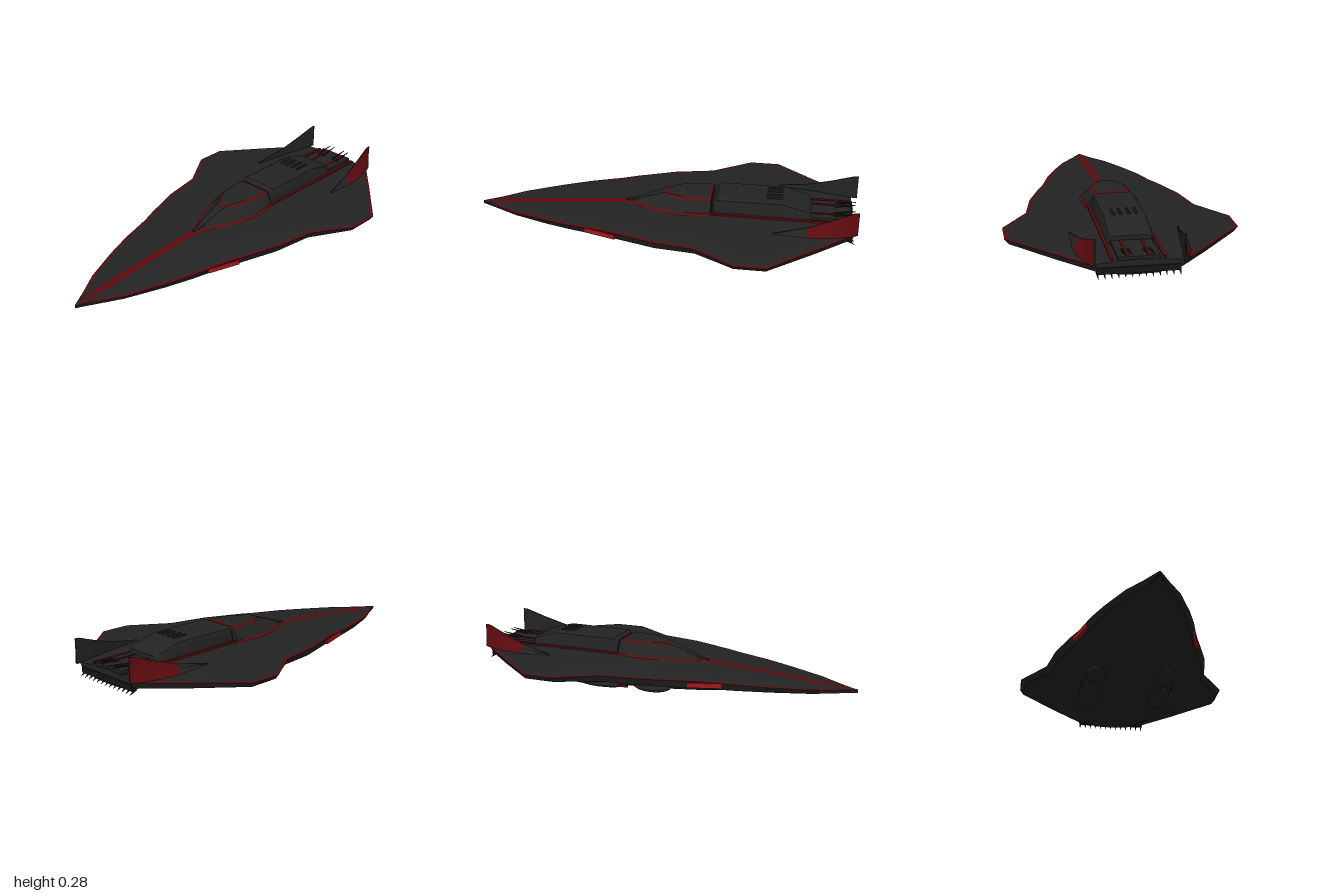
import * as THREE from 'three';
import { toCreasedNormals } from 'three/addons/utils/BufferGeometryUtils.js';

const paint = (name, color) => {
  const m = new THREE.MeshStandardMaterial({ color });
  m.name = name;
  return m;
};

// Hull stations: z, half width, top y, edge y, edge depth, bottom y
const HULL = [
  [1, .004, .082, .08, .01, .066], [.9, .06, .092, .085, .02, .06],
  [.79, .127, .1, .092, .025, .057], [.6, .205, .118, .104, .03, .053],
  [.455, .254, .13, .114, .035, .045], [.28, .3, .143, .124, .04, .025],
  [.2, .33, .148, .128, .04, .02], [0, .397, .157, .134, .04, .012],
  [-.206, .434, .164, .138, .035, .01], [-.41, .566, .168, .14, .025, .012],
  [-.566, .566, .168, .14, .025, .025], [-.8, .365, .168, .146, .03, .06],
  [-.97, .215, .166, .15, .03, .095],
];

export function createModel() {
  const model = new THREE.Group();
  const body = paint('charcoal hull', 0x232323);
  const red = paint('dark red trim', 0x5c0a0e);
  const glow = paint('bright red vent', 0xa01a1c);
  const dark = paint('black metal', 0x161616);
  const mats = [body, red];

  function add(name, geo, mat, x = 0, y = 0, z = 0) {
    const mesh = new THREE.Mesh(geo, mat);
    mesh.name = name;
    mesh.position.set(x, y, z);
    model.add(mesh);
    return mesh;
  }

  // Skin closed rings (clockwise seen from the front, nose to tail) and cap both ends
  function loft(name, rings, colourOf = () => 0) {
    const n = rings[0].length, pos = rings.flat(2), tris = [[], []];
    rings.slice(0, -1).forEach((_, i) => {
      for (let j = 0; j < n; j++) {
        const k = (j + 1) % n, a = i * n + j, b = i * n + k;
        tris[colourOf(i, j)].push(a, b, a + n, b, b + n, a + n);
      }
    });
    [0, rings.length - 1].forEach((r) => {
      const c = pos.length / 3;
      for (let d = 0; d < 3; d++) pos.push(rings[r].reduce((s, p) => s + p[d], 0) / n);
      for (let j = 0; j < n; j++) {
        const a = r * n + j, b = r * n + (j + 1) % n;
        tris[0].push(c, ...(r ? [a, b] : [b, a]));
      }
    });
    const geo = new THREE.BufferGeometry();
    geo.setAttribute('position', new THREE.Float32BufferAttribute(pos, 3));
    geo.setIndex([...tris[0], ...tris[1]]);
    geo.addGroup(0, tris[0].length, 0);
    geo.addGroup(tris[0].length, tris[1].length, 1);
    return add(name, toCreasedNormals(geo, 0.5), mats);
  }

  // Symmetric ring from a right-hand half profile, top centre to bottom centre
  const ringOf = (half, z) => [
    ...half.map(([x, y]) => [x, y, z]),
    ...half.slice(1, -1).reverse().map(([x, y]) => [-x, y, z]),
  ];
  // Band number counted from the top centre on either side
  const band = (j, halfLength) => Math.min(j, 2 * (halfLength - 1) - 1 - j);

  // Main hull with red nose stripe and red rim
  const lerp = THREE.MathUtils.lerp;
  loft('hull', HULL.map(([z, w, t, e, g, b]) => ringOf([
    [0, t], [Math.min(.022, w * .3), t - .0005], [Math.min(.27, w * .5), lerp(t, e, .3)],
    [w - Math.min(.016, w * .25), e + .002], [w, e], [w - Math.min(.02, w * .2), e - g],
    [w * .62, lerp(b, e - g, .62)], [w * .42, lerp(b, e - g, .1)], [0, b],
  ], z)), (i, j) => {
    const k = band(j, 9);
    return k === 3 || (k === 0 && i < 6) ? 1 : 0;
  });

  // Cockpit blister: z, roof half width, roof y, base half width, base y
  const cockpit = [
    [.21, .006, .15, .012, .145], [.1, .02, .19, .065, .15], [.005, .034, .224, .112, .155],
    [-.012, .04, .227, .12, .156], [-.1, .09, .235, .142, .16],
    [-.235, .096, .24, .135, .162], [-.25, .096, .236, .13, .162],
  ];
  loft('cockpit', cockpit.map(([z, th, ty, bh, by]) => ringOf([
    [0, ty], [th * .85, ty], [th, ty - .008], [lerp(th, bh, .7), lerp(by, ty, .3)],
    [bh - .008, by + .01], [bh + .006, by + .002], [0, by - .03],
  ], z)), (i, j) => {
    const k = band(j, 7);
    return k === 4 || (k === 1 && i > 1) || (k === 0 && (i === 2 || i === 5)) ? 1 : 0;
  });

  // Rear engine housing: z, top y, half width
  const housing = [[-.262, .232, .1], [-.28, .248, .108], [-.62, .25, .108],
    [-.74, .218, .108], [-.762, .2, .1]];
  loft('engineHousing', housing.map(([z, y, w]) => ringOf([
    [0, y], [w * .78, y], [w * .93, y - .01], [w, y - .03], [w + .004, .165], [0, .14],
  ], z)));
  add('housingNeck', new THREE.BoxGeometry(.18, .06, .04), dark, 0, .175, -.255);
  add('rearSpine', new THREE.BoxGeometry(.19, .03, .21), body, 0, .163, -.86);

  // Roof ribs
  for (const x of [-.055, -.02, .02, .055]) {
    const rib = add('roofRib', new THREE.CapsuleGeometry(.007, .07, 4, 8), dark, x, .25, -.575);
    rib.rotation.x = Math.PI / 2;
  }

  for (const s of [-1, 1]) {
    // Swept tail fin with red outer face: z, inner x, outer x, top y
    const fin = [[-.58, .26, .268, .166], [-.75, .235, .272, .197],
      [-.87, .217, .258, .236], [-.975, .201, .226, .275], [-1, .2, .21, .277]];
    loft('tailFin', fin.map(([z, xi, xo, y]) => {
      const r = [[xi, .15, z], [xi, y, z], [xi + .005, y, z],
        [lerp(xi, xo, .45), lerp(.16, y, .45), z], [xo, .155, z]];
      return s > 0 ? r : r.map(([x, b, c]) => [-x, b, c]).reverse();
    }), (i, j) => ((s > 0 ? j === 2 || j === 3 : j === 0 || j === 1) && i > 0 ? 1 : 0));

    // Glowing side vent set in the hull wall
    const vent = add('sideVent', new THREE.BoxGeometry(.022, .024, .175), glow, s * .288, .105, .295);
    vent.rotation.y = -s * .3;

    // Red deck lines beside the housing and on the spine
    add('deckLine', new THREE.BoxGeometry(.014, .008, .71), red, s * .119, .168, -.605);
    add('spineLine', new THREE.BoxGeometry(.012, .008, .2), red, s * .05, .178, -.865);

    // Belly pods
    for (const [x, z, rx, rz] of [[.18, -.03, .055, .1], [.19, -.31, .06, .15]]) {
      add('bellyPod', new THREE.SphereGeometry(1, 20, 12), body, s * x, .03, z).scale.set(rx, .026, rz);
    }
    add('bellyLight', new THREE.BoxGeometry(.006, .012, .06), red, s * .245, .035, -.17);

    // Rear antennae
    for (const x of [.035, .065]) {
      const rod = add('rearAntenna', new THREE.CylinderGeometry(.002, .006, .11, 6), dark, s * x, .187, -.935);
      rod.rotation.x = -Math.PI / 2 + .15;
    }
  }
  add('keelPod', new THREE.SphereGeometry(1, 20, 12), body, 0, .03, -.28).scale.set(.09, .03, .2);

  // Ragged exhaust teeth along the stern
  add('exhaustSlot', new THREE.BoxGeometry(.38, .03, .02), dark, 0, .12, -.967);
  for (let i = 0; i < 13; i++) {
    const tooth = add('exhaustTooth', new THREE.ConeGeometry(.009, .045, 5), dark, -.186 + i * .031, .1, -.972);
    tooth.rotation.x = -Math.PI / 2 - .6;
  }
  return model;
}
